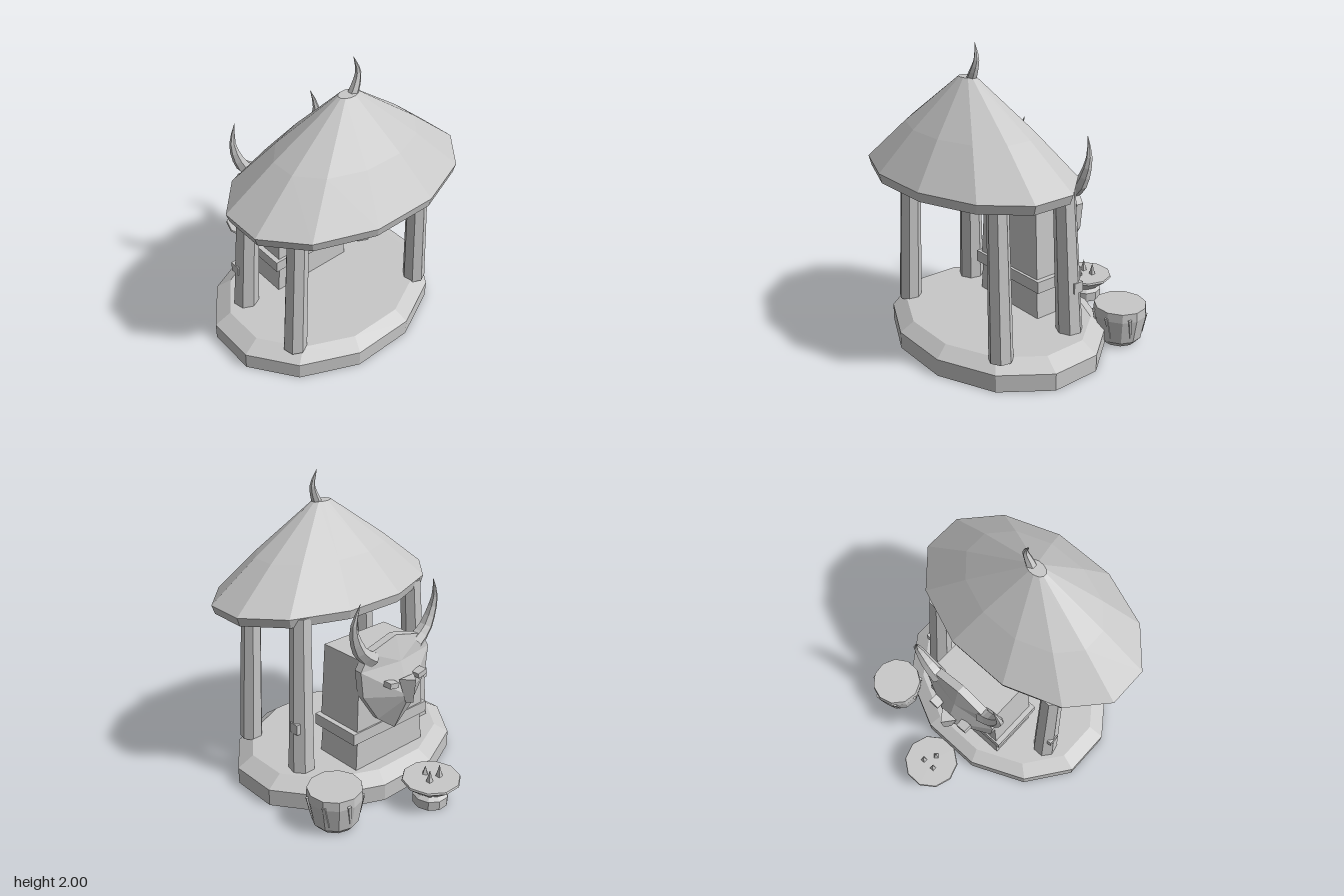
import * as THREE from 'three';

const stone = new THREE.MeshStandardMaterial({ color: 0xc8c8c8, flatShading: true, side: THREE.DoubleSide });
stone.name = 'pale stone';

export function createModel() {
  const model = new THREE.Group();
  model.name = 'shrine';

  const add = (name, geometry, x = 0, y = 0, z = 0, parent = model) => {
    const mesh = new THREE.Mesh(geometry, stone);
    mesh.name = name;
    mesh.position.set(x, y, z);
    parent.add(mesh);
    return mesh;
  };

  // Faceted turned shape from [radius, height] pairs
  const turned = (profile, sides, start = Math.PI / sides) =>
    new THREE.LatheGeometry(profile.map(([r, y]) => new THREE.Vector2(r, y)), sides, start);

  // Box with a different width and depth at the top and bottom
  const taperedBox = (w0, d0, w1, d1, h) => {
    const g = new THREE.BoxGeometry(1, h, 1);
    const p = g.attributes.position;
    for (let i = 0; i < p.count; i++) {
      const top = p.getY(i) > 0;
      p.setX(i, p.getX(i) * (top ? w1 : w0));
      p.setZ(i, p.getZ(i) * (top ? d1 : d0));
    }
    return g;
  };

  // Curved horn: a tube narrowing towards its tip
  const horn = (points, radius, sides = 6, steps = 7) => {
    const path = new THREE.CatmullRomCurve3(points.map(p => new THREE.Vector3(...p)));
    const g = new THREE.TubeGeometry(path, steps, radius, sides);
    const p = g.attributes.position, v = new THREE.Vector3();
    for (let i = 0; i < p.count; i++) {
      const t = Math.floor(i / (sides + 1)) / steps;
      const c = path.getPointAt(t);
      v.fromBufferAttribute(p, i).sub(c).multiplyScalar(1 - 0.97 * Math.pow(t, 1.3)).add(c);
      p.setXYZ(i, v.x, v.y, v.z);
    }
    return g;
  };

  // Tapered post between two points
  const post = (name, a, b, r0, r1, sides) => {
    const from = new THREE.Vector3(...a), to = new THREE.Vector3(...b);
    const dir = to.clone().sub(from);
    const mid = from.clone().add(to).multiplyScalar(0.5);
    const mesh = add(name, new THREE.CylinderGeometry(r1, r0, dir.length(), sides), mid.x, mid.y, mid.z);
    mesh.quaternion.setFromUnitVectors(new THREE.Vector3(0, 1, 0), dir.normalize());
    return mesh;
  };

  // Oval platform, open underneath
  add('platform', turned([[1, 0], [1, 0.115], [0.865, 0.18], [0, 0.18]], 12), 0, 0, 0.15)
    .scale.set(0.823, 1, 0.652);

  // Oval conical roof, hollow underneath
  add('roof', turned([[0.975, 1.17], [1, 1.23], [0.61, 1.485], [0.085, 1.79], [0, 1.79]], 12), 0, 0, 0.355)
    .scale.set(0.823, 1, 0.533);
  add('roofHorn', horn([[0.028, 1.76, 0.355], [0.06, 1.83, 0.352], [0.08, 1.9, 0.345], [0.05, 2, 0.335]], 0.034));

  // Leaning pillars with a small chip on the rear pair
  for (const s of [-1, 1]) {
    const frontZ = s < 0 ? 0.5 : 0.53;
    post('frontPillar', [s * 0.53, 0.17, frontZ], [s * 0.48, 1.22, frontZ - 0.02], 0.078, 0.066, 7);
    post('rearPillar', [s * 0.53, 0.17, -0.03], [s * 0.48, 1.22, 0], 0.088, 0.07, 7);
    add('pillarChip', new THREE.BoxGeometry(0.03, 0.07, 0.07), s * 0.582, 0.495, -0.04);
  }

  // Altar in three tiers
  add('altarBase', taperedBox(0.61, 0.35, 0.575, 0.34, 0.22), 0, 0.28, -0.13);
  add('altarBand', new THREE.BoxGeometry(0.66, 0.08, 0.38), 0, 0.42, -0.125);
  add('altarBlock', taperedBox(0.59, 0.35, 0.53, 0.33, 0.5), 0, 0.705, -0.13);

  // Shield-shaped horned mask on the rear of the altar
  const outline = [[0, 1.066], [0.23, 1.005], [0.3, 0.9], [0.28, 0.72], [0.15, 0.52], [0, 0.4],
    [-0.15, 0.52], [-0.28, 0.72], [-0.3, 0.9], [-0.23, 1.005]];
  const verts = [], n = outline.length;
  const corner = (i, z) => [...outline[i % n], z];
  const brow = [0, 0.9, -0.39], muzzle = [0, 0.68, -0.47];
  const tri = (a, b, c) => verts.push(...a, ...b, ...c);
  for (let i = 0; i < n; i++) {
    const a = corner(i, -0.29), b = corner(i + 1, -0.29);
    const c = corner(i, -0.345), d = corner(i + 1, -0.345);
    tri(a, c, b);
    tri(b, c, d);
    tri([0, 0.8, -0.29], a, b);
    tri(i < 2 || i > 7 ? brow : muzzle, d, c);
  }
  for (const [x, y] of [outline[2], outline[8]])
    x > 0 ? tri(brow, muzzle, [x, y, -0.345]) : tri(muzzle, brow, [x, y, -0.345]);
  const maskShape = new THREE.BufferGeometry();
  maskShape.setAttribute('position', new THREE.Float32BufferAttribute(verts, 3));
  maskShape.computeVertexNormals();
  add('mask', maskShape);

  // Mask horns and eyes
  for (const s of [-1, 1]) {
    add('maskHorn', horn([[s * 0.19, 0.95, -0.325], [s * 0.28, 1.02, -0.325], [s * 0.34, 1.15, -0.33],
      [s * 0.35, 1.24, -0.34], [s * 0.315, 1.36, -0.355]], 0.056));
    const eye = add('eye', new THREE.BoxGeometry(0.075, 0.035, 0.06), s * 0.125, 0.795, -0.435);
    eye.rotation.z = s * 0.2;
  }

  // Wedge nose, narrow at its lower end
  const noseShape = new THREE.CylinderGeometry(0.075, 0.035, 0.165, 3, 1, false, Math.PI);
  const nose = add('nose', noseShape, 0, 0.73, -0.475);
  nose.scale.z = 0.75;
  nose.rotation.x = 0.07;

  // Drum with slanted pegs round its side
  const drum = new THREE.Group();
  drum.name = 'drum';
  drum.position.set(0.595, 0, -0.43);
  model.add(drum);
  add('drumBody', turned([[0, 0], [0.12, 0], [0.15, 0.035], [0.178, 0.2], [0.174, 0.26], [0, 0.26]], 11), 0, 0, 0, drum);
  for (let i = 0; i < 7; i++) {
    const a = i * Math.PI * 2 / 7 + 0.3;
    const peg = add('drumPeg', taperedBox(0.008, 0.012, 0.022, 0.02, 0.15),
      Math.sin(a) * 0.163, 0.145, Math.cos(a) * 0.163, drum);
    peg.rotation.set(0.16, a, 0.14, 'YXZ');
  }

  // Offering dish with three small spikes
  add('dish', turned([[0, 0], [0.115, 0], [0.118, 0.065], [0.09, 0.085], [0.11, 0.1], [0.193, 0.168],
    [0.188, 0.18], [0, 0.18]], 10), 0, 0, -0.683);
  for (const [x, z, h] of [[-0.045, -0.71, 0.09], [0.045, -0.71, 0.09], [0, -0.63, 0.065]])
    add('dishSpike', new THREE.ConeGeometry(0.024, h, 4), x, 0.175 + h / 2, z).rotation.y = x * 17;

  return model;
}
